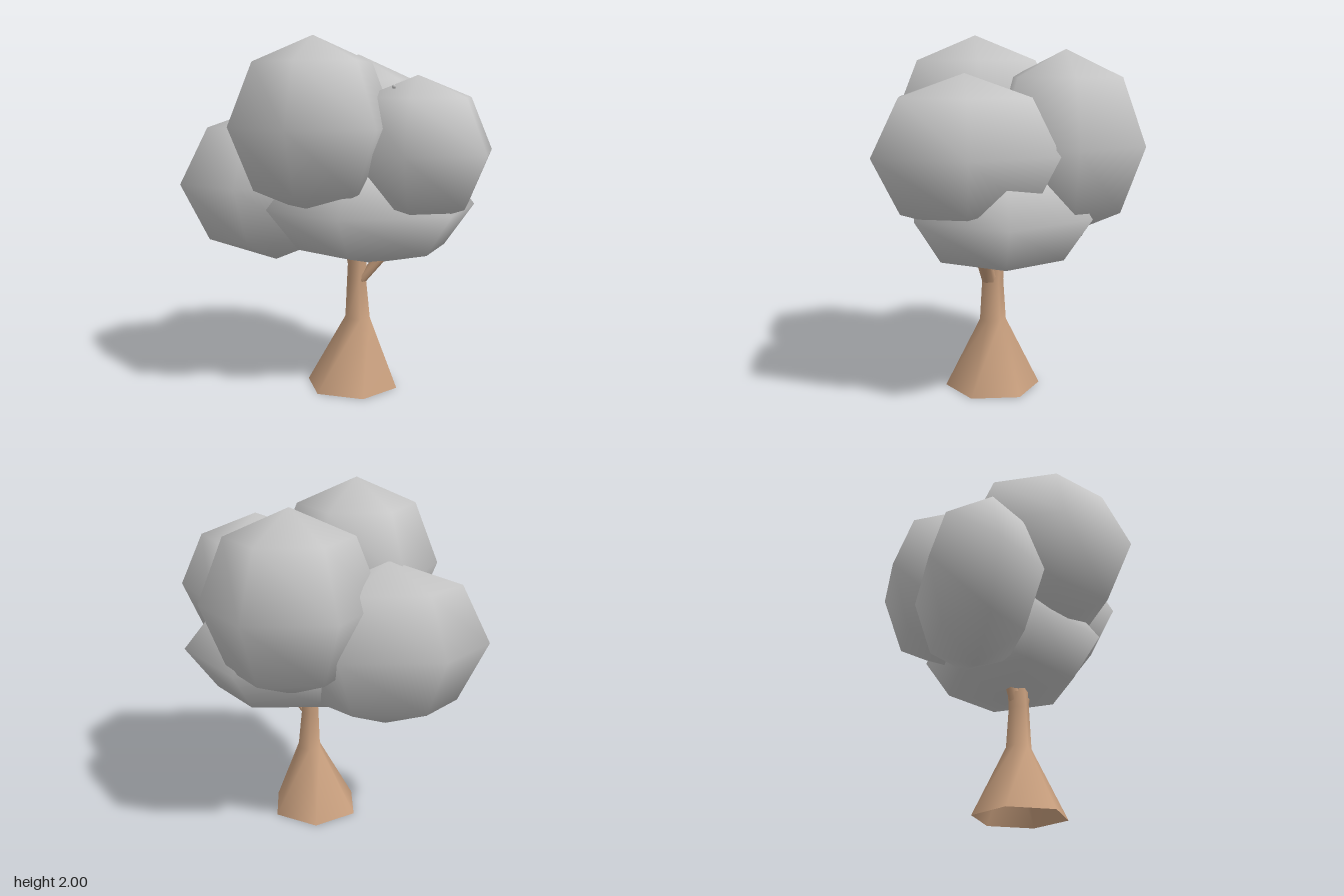
import * as THREE from 'three';

export function createModel() {
  const tree = new THREE.Group();
  tree.name = 'tree';
  const leaf = new THREE.MeshStandardMaterial({ name: 'foliageGrey', color: 0xc6c6c6 });
  const bark = new THREE.MeshStandardMaterial({ name: 'barkBrown', color: 0xc89f7e, side: THREE.DoubleSide });

  function add(name, geometry, material) {
    const mesh = new THREE.Mesh(geometry, material);
    mesh.name = name;
    tree.add(mesh);
    return mesh;
  }

  // Foliage: coarse six-sided spheres stretched into ellipsoids [name, centre, radii]
  const clumps = [
    ['frontRightFoliage', [-0.15, 1.51, 0.15], [0.47, 0.49, 0.54]],
    ['frontLeftFoliage', [0.42, 1.376, 0.235], [0.44, 0.412, 0.545]],
    ['backLeftFoliage', [0.22, 1.407, -0.32], [0.485, 0.508, 0.45]],
    ['backRightFoliage', [-0.3, 1.159, -0.265], [0.56, 0.466, 0.352]],
    ['lowerFoliage', [0.22, 1.038, 0.04], [0.62, 0.33, 0.533]],
  ];
  for (const [name, centre, radii] of clumps) {
    add(name, new THREE.SphereGeometry(1, 6, 4).scale(...radii), leaf).position.set(...centre);
  }

  // Tiny bud on the front left clump
  add('bud', new THREE.SphereGeometry(0.012, 6, 4), leaf).position.set(0.255, 1.725, 0.33);

  // Open six-sided tube through rings of [x, y, z, radiusX, radiusZ]
  function hexTube(rings) {
    const positions = [], index = [];
    rings.forEach(([x, y, z, rx, rz], r) => {
      for (let i = 0; i < 6; i++) {
        const a = (i * Math.PI) / 3;
        positions.push(x + Math.sin(a) * rx, y, z + Math.cos(a) * rz);
        if (r === 0) continue;
        const lo = (r - 1) * 6, hi = r * 6, j = (i + 1) % 6;
        index.push(lo + i, lo + j, hi + j, lo + i, hi + j, hi + i);
      }
    });
    const g = new THREE.BufferGeometry();
    g.setAttribute('position', new THREE.Float32BufferAttribute(positions, 3));
    g.setIndex(index);
    g.computeVertexNormals();
    return g;
  }

  // Trunk with a flared foot, and short branches hidden in the foliage
  add('trunk', hexTube([
    [0.092, 0, 0.07, 0.268, 0.27],
    [0.125, 0.4, 0.07, 0.074, 0.074],
    [0.118, 0.63, 0.07, 0.056, 0.06],
    [0.13, 0.86, 0.06, 0.055, 0.06],
  ]), bark);
  add('leftBranch', hexTube([
    [0.14, 0.62, 0.09, 0.03, 0.04],
    [0.29, 0.82, 0.14, 0.045, 0.045],
  ]), bark);
  add('rightBranch', hexTube([
    [0.115, 0.65, 0.06, 0.035, 0.04],
    [0.09, 0.84, 0.0, 0.035, 0.04],
  ]), bark);

  return tree;
}
